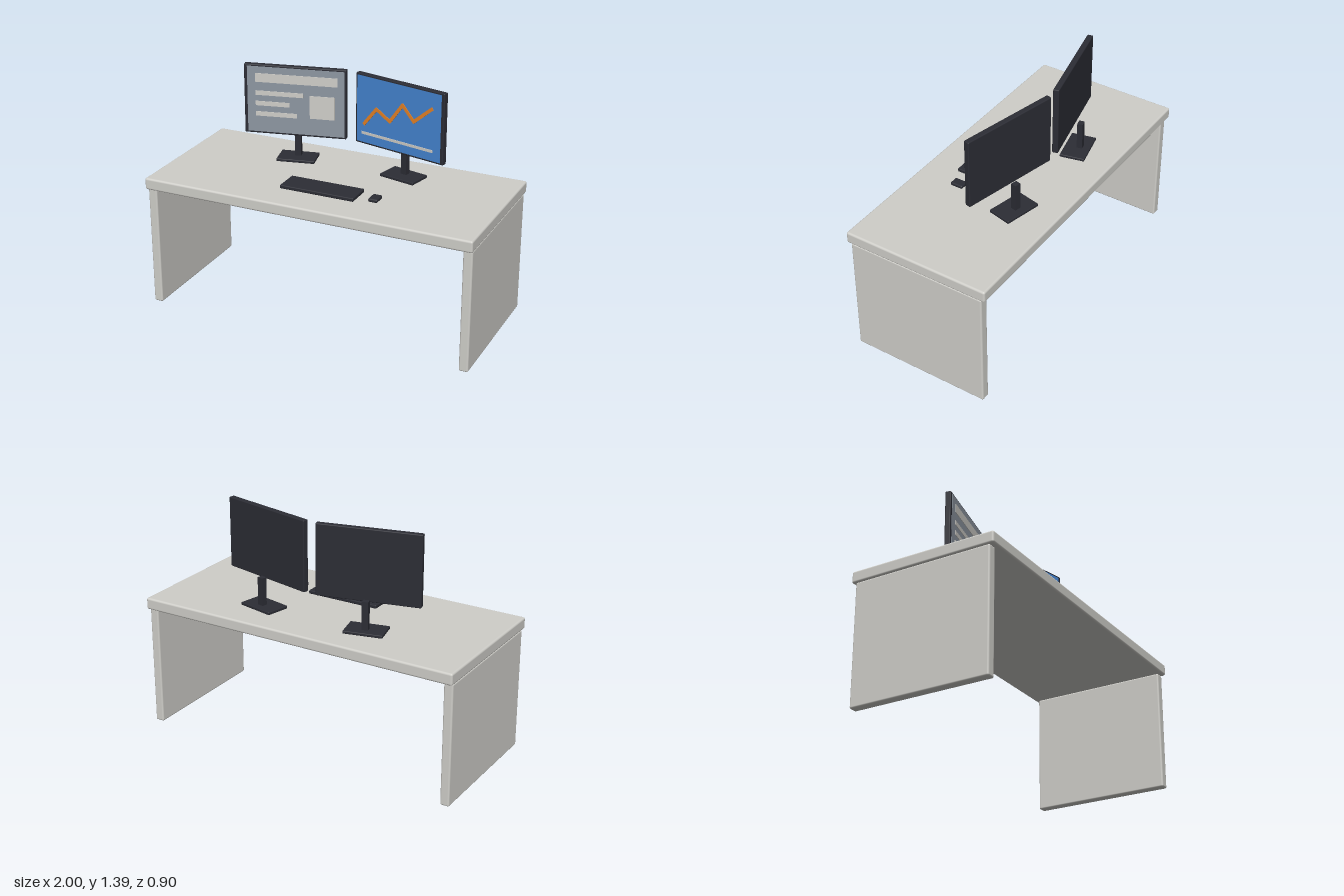
import * as THREE from 'three';
import { RoundedBoxGeometry } from 'three/addons/geometries/RoundedBoxGeometry.js';

const material = (name, color) => {
  const m = new THREE.MeshStandardMaterial({ color });
  m.name = name;
  return m;
};

export function createModel() {
  const pale = material('pale grey', 0xcfcec9);
  const dark = material('charcoal', 0x2c2d35);
  const grey = material('slate grey', 0x8e97a2);
  const blue = material('blue', 0x4585d2);
  const orange = material('orange', 0xe88325);

  const add = (parent, name, geometry, mat, x, y, z) => {
    const mesh = new THREE.Mesh(geometry, mat);
    mesh.name = name;
    mesh.position.set(x, y, z);
    parent.add(mesh);
    return mesh;
  };
  const rounded = (w, h, d, r) => new RoundedBoxGeometry(w, h, d, 3, r);
  const box = (w, h, d) => new THREE.BoxGeometry(w, h, d);

  const model = new THREE.Group();
  model.name = 'desk';

  // Desk top and slab legs
  add(model, 'deskTop', rounded(2, 0.07, 0.9, 0.012), pale, 0, 0.765, 0);
  for (const side of [-1, 1]) {
    add(model, side > 0 ? 'leftLeg' : 'rightLeg', rounded(0.055, 0.73, 0.85, 0.01), pale, side * 0.967, 0.365, 0);
  }

  // Keyboard and mouse
  add(model, 'keyboard', rounded(0.455, 0.022, 0.155, 0.006), dark, 0, 0.813, 0.178);
  add(model, 'mouse', rounded(0.056, 0.022, 0.078, 0.009), dark, 0.327, 0.813, 0.178);

  // A monitor turned towards the middle, with its stand; y = 0 is the screen centre
  const monitor = (side, screenMaterial) => {
    const g = new THREE.Group();
    g.name = side > 0 ? 'leftMonitor' : 'rightMonitor';
    g.position.set(side * 0.33, 1.176, -0.16);
    g.rotation.y = -side * 0.225;
    add(g, 'panel', rounded(0.608, 0.422, 0.035, 0.006), dark, 0, 0, 0);
    add(g, 'screen', box(0.578, 0.4, 0.004), screenMaterial, -side * 0.004, 0, 0.0175);
    add(g, 'pole', box(0.037, 0.178, 0.033), dark, 0, -0.28, -0.054);
    add(g, 'standBase', rounded(0.23, 0.018, 0.148, 0.005), dark, 0, -0.367, -0.04);
    model.add(g);
    return g;
  };
  const plate = (parent, name, x, y, w, h, mat) =>
    add(parent, name, box(w, h, 0.004), mat, x, y, 0.021);

  // Document page: heading, text lines and picture block
  const page = monitor(-1, grey);
  plate(page, 'heading', 0.008, 0.133, 0.488, 0.053, pale);
  for (const [x, y, w] of [[-0.093, 0.04, 0.285], [-0.134, -0.024, 0.203], [-0.112, -0.088, 0.247]]) {
    plate(page, 'textLine', x, y, w, 0.027, pale);
  }
  plate(page, 'pictureBlock', 0.162, -0.027, 0.148, 0.139, pale);

  // Line chart above a baseline
  const chart = monitor(1, blue);
  plate(chart, 'baseline', -0.011, -0.142, 0.494, 0.016, pale);
  const points = [[-0.241, -0.086], [-0.154, 0.021], [-0.06, -0.032], [0.027, 0.086], [0.104, 0.005], [0.225, 0.107]];
  for (let i = 1; i < points.length; i++) {
    const [ax, ay] = points[i - 1], [bx, by] = points[i];
    const length = Math.hypot(bx - ax, by - ay) + 0.012;
    const stroke = plate(chart, 'chartStroke', (ax + bx) / 2, (ay + by) / 2, length, 0.02, orange);
    stroke.rotation.z = Math.atan2(by - ay, bx - ax);
  }

  return model;
}
